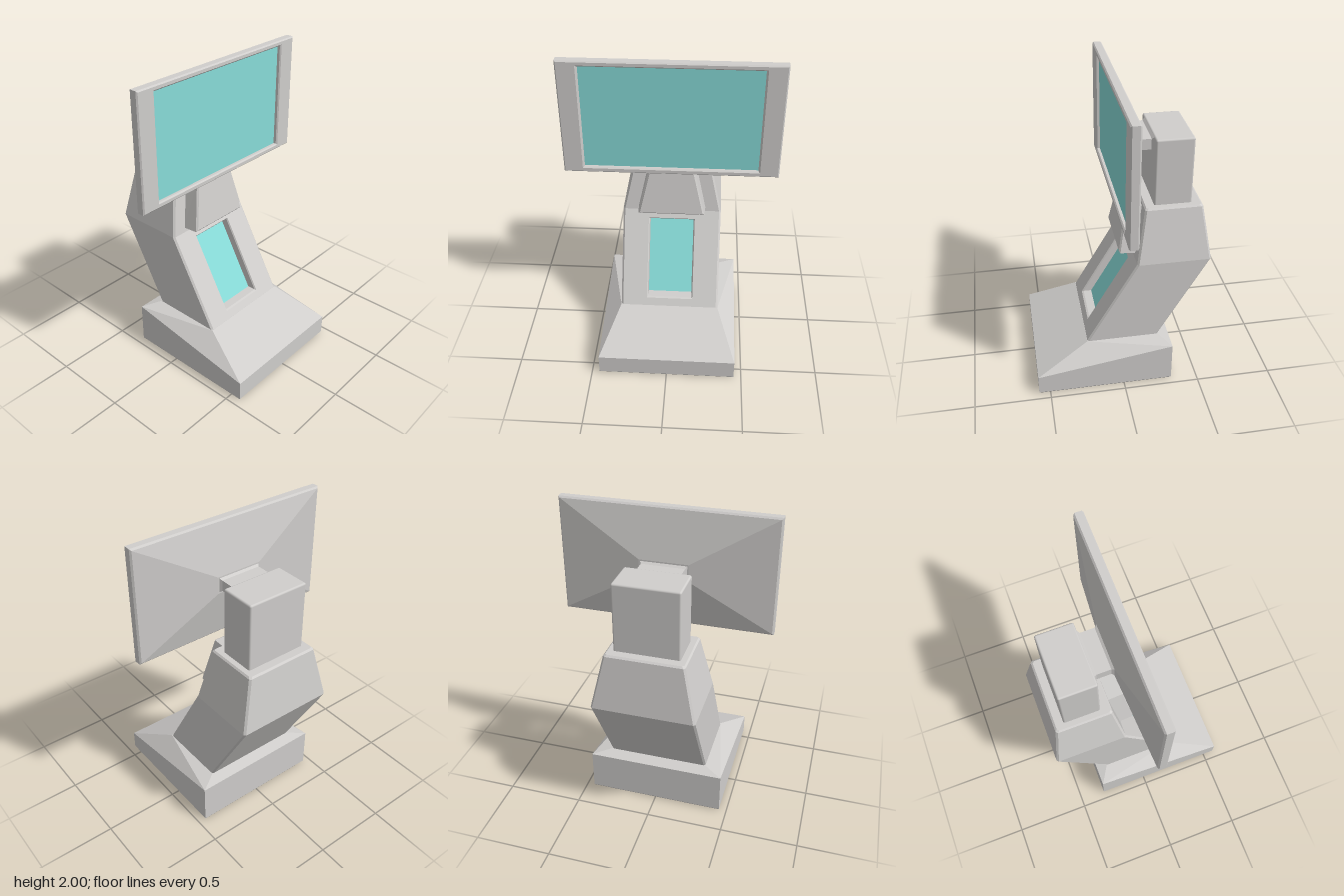
import * as THREE from 'three';
import { RoundedBoxGeometry } from 'three/addons/geometries/RoundedBoxGeometry.js';

// Skins a stack of rings with flat faces; rings run anticlockwise seen from the loft's end.
function loft(rings, { start = false, end = false, skip = () => false } = {}) {
  const pos = [];
  const tri = (...pts) => pts.forEach((p) => pos.push(...p));
  for (let r = 0; r + 1 < rings.length; r++) {
    const lo = rings[r], hi = rings[r + 1], n = lo.length;
    for (let i = 0; i < n; i++) {
      if (skip(r, i)) continue;
      const j = (i + 1) % n;
      // mirrored diagonals keep both halves alike
      if (i < n / 2) { tri(lo[i], lo[j], hi[j]); tri(lo[i], hi[j], hi[i]); }
      else { tri(lo[i], lo[j], hi[i]); tri(lo[j], hi[j], hi[i]); }
    }
  }
  const cap = (ring) => {
    for (let i = 1; i + 1 < ring.length; i++) tri(ring[0], ring[i], ring[i + 1]);
  };
  if (start) cap([...rings[0]].reverse());
  if (end) cap(rings[rings.length - 1]);
  const g = new THREE.BufferGeometry();
  g.setAttribute('position', new THREE.Float32BufferAttribute(pos, 3));
  g.computeVertexNormals();
  return g;
}

// Horizontal rectangle with its own height at the back (x0) and front (x1)
const flatRing = (x0, x1, z, y0, y1 = y0) =>
  [[x0, y0, z], [x1, y1, z], [x1, y1, -z], [x0, y0, -z]];

// Horizontal rectangle with chamfered corners
const cutRing = (x0, x1, z, y, c = 0.012) => [
  [x0 + c, y, z], [x1 - c, y, z], [x1, y, z - c], [x1, y, c - z],
  [x1 - c, y, -z], [x0 + c, y, -z], [x0, y, c - z], [x0, y, z - c]];

// Upright trapezoid facing +x; x is a function of height
const faceRing = (y0, y1, zLow, zHigh, x) =>
  [[x(y0), y0, zLow], [x(y0), y0, -zLow], [x(y1), y1, -zHigh], [x(y1), y1, zHigh]];

export function createModel() {
  const model = new THREE.Group();
  const shell = new THREE.MeshStandardMaterial({ color: 0xd0cecc });
  shell.name = 'warm grey shell';
  const glass = new THREE.MeshStandardMaterial({ color: 0x88dcd9 });
  glass.name = 'teal display';
  const add = (name, geometry, material = shell) => {
    const mesh = new THREE.Mesh(geometry, material);
    mesh.name = name;
    model.add(mesh);
    return mesh;
  };

  // Wedge foot with a roof rising to the column
  add('base', loft([
    flatRing(-0.32, 0.57, 0.445, 0),
    flatRing(-0.325, 0.575, 0.45, 0.008),
    flatRing(-0.325, 0.575, 0.45, 0.28, 0.138),
    flatRing(-0.25, 0.23, 0.33, 0.302),
  ], { start: true, end: true }));

  // Leaning column, its lower front left open for the recessed panel
  add('column', loft([
    cutRing(-0.25, 0.23, 0.33, 0.3),
    cutRing(-0.58, -0.1, 0.33, 0.88),
    cutRing(-0.527, -0.158, 0.252, 1.23),
    cutRing(-0.515, -0.168, 0.242, 1.24),
  ], { end: true, skip: (r, i) => r === 0 && i === 2 }));

  const slope = (y) => 0.23 - (y - 0.3) * 0.33 / 0.58;
  const floor = faceRing(0.355, 0.818, 0.147, 0.147, (y) => slope(y) - 0.063);
  add('columnFront', loft([
    faceRing(0.3, 0.88, 0.318, 0.318, slope),
    faceRing(0.348, 0.83, 0.156, 0.156, slope),
    faceRing(0.353, 0.822, 0.15, 0.15, (y) => slope(y) - 0.01),
    floor,
  ]));
  add('columnPanel', loft([floor], { end: true }), glass);

  // Raised trapezoid pad on the upper front
  const brow = (y) => -0.1 - (y - 0.88) * 0.06 / 0.36;
  const padX = (d) => (y) => brow(y) + d;
  add('frontPad', loft([
    faceRing(0.908, 1.215, 0.225, 0.157, padX(-0.01)),
    faceRing(0.912, 1.212, 0.22, 0.152, padX(0.095)),
    faceRing(0.922, 1.204, 0.208, 0.142, padX(0.105)),
  ], { end: true }));

  // Head block and the arm that carries the screen
  add('head', new RoundedBoxGeometry(0.24, 0.46, 0.415, 2, 0.012)).position.set(-0.343, 1.45, 0);
  const at = (v) => () => v;
  add('neck', loft([
    faceRing(1.575, 1.675, 0.15, 0.15, at(-0.225)),
    faceRing(1.59, 1.66, 0.137, 0.137, at(-0.21)),
    faceRing(1.59, 1.66, 0.137, 0.137, at(-0.12)),
    faceRing(1.575, 1.675, 0.15, 0.15, at(-0.1)),
  ]));

  // Screen housing: tapered back, slim rim and recessed display
  const display = faceRing(1.282, 1.965, 0.55, 0.55, at(0));
  add('screenHousing', loft([
    faceRing(1.57, 1.68, 0.155, 0.155, at(-0.105)),
    faceRing(1.255, 1.99, 0.67, 0.67, at(-0.037)),
    faceRing(1.245, 2, 0.68, 0.68, at(-0.027)),
    faceRing(1.245, 2, 0.68, 0.68, at(0.017)),
    faceRing(1.253, 1.992, 0.672, 0.672, at(0.025)),
    faceRing(1.274, 1.973, 0.56, 0.56, at(0.025)),
    faceRing(1.282, 1.965, 0.552, 0.552, at(0.017)),
    display,
  ], { start: true }));
  add('screenDisplay', loft([display], { end: true }), glass);

  return model;
}
